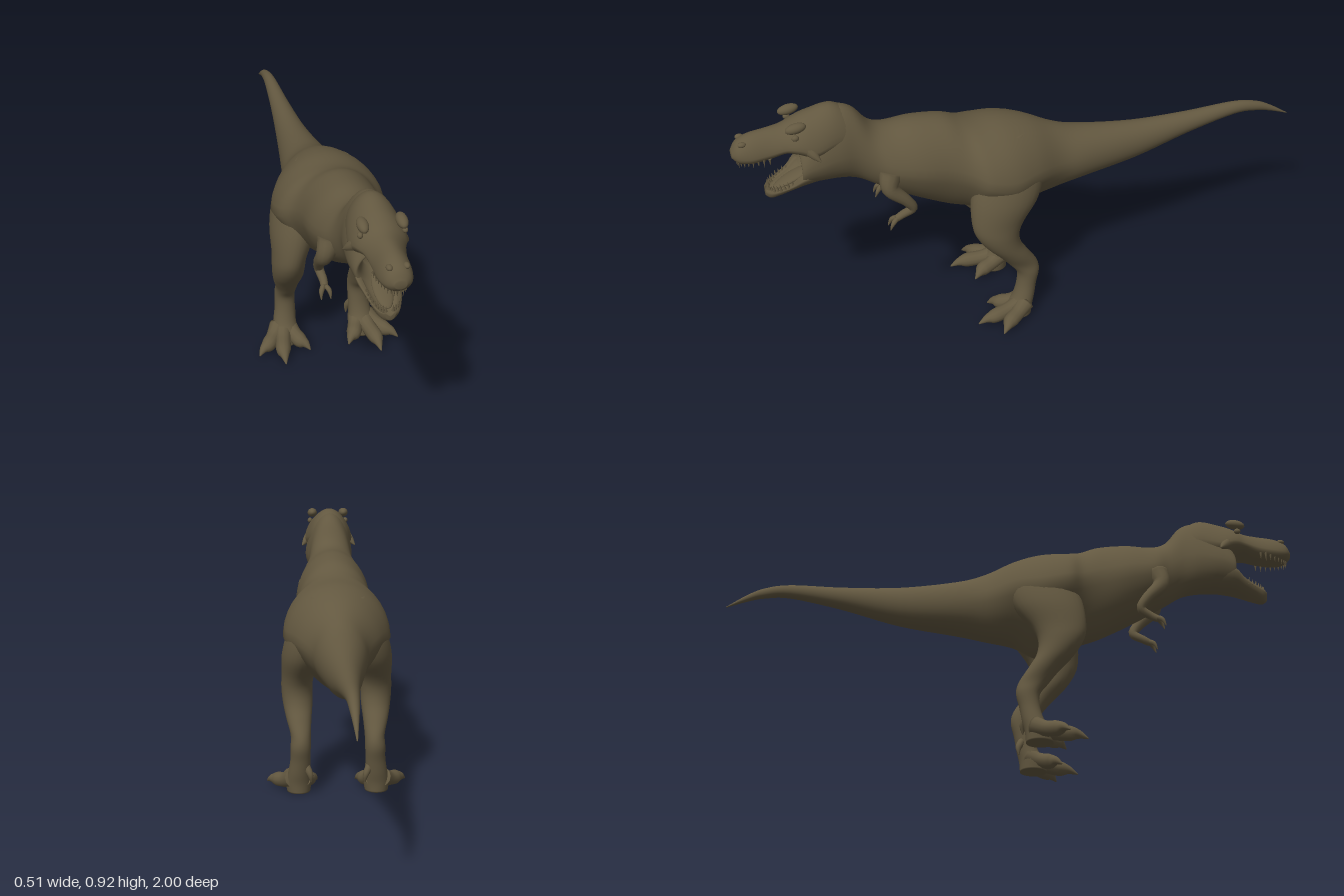
import * as THREE from 'three';

const TAU = Math.PI * 2;
const hide = new THREE.MeshStandardMaterial({ color: 0x635840 });
hide.name = 'olive brown hide';

// Smoothly resample a table of cross-section values
function smooth(rows, steps) {
  const out = [], last = rows.length - 1;
  for (let i = 0; i < last; i++) {
    for (let s = 0; s < steps; s++) {
      const t = s / steps;
      const [a, b, c, d] = [i - 1, i, i + 1, i + 2].map(k => rows[Math.min(last, Math.max(0, k))]);
      out.push(b.map((_, k) => 0.5 * (2 * b[k] + (c[k] - a[k]) * t
        + (2 * a[k] - 5 * b[k] + 4 * c[k] - d[k]) * t * t
        + (3 * b[k] - a[k] - 3 * c[k] + d[k]) * t * t * t)));
    }
  }
  out.push(rows[last]);
  return out;
}

// Skin a list of rings (arrays of Vector3) and close both ends
function loft(rings) {
  const n = rings[0].length;
  const cap = ring => {
    const c = ring.reduce((s, p) => s.add(p), new THREE.Vector3()).divideScalar(n);
    return ring.map(() => c);
  };
  const all = [cap(rings[0]), ...rings, cap(rings[rings.length - 1])];
  const index = [];
  for (let i = 0; i < all.length - 1; i++) {
    for (let j = 0; j < n; j++) {
      const a = i * n + j, b = i * n + (j + 1) % n;
      index.push(a, b, a + n, b, b + n, a + n);
    }
  }
  const geo = new THREE.BufferGeometry().setFromPoints(all.flat());
  geo.setIndex(index);
  geo.computeVertexNormals();
  return geo;
}

const ringOf = (n, fn) => Array.from({ length: n }, (_, j) => fn(TAU * j / n));

// Trunk rows: z, top, bottom, half width, height of widest point (0..1), lower taper, upper taper
function trunk(rows, steps = 5) {
  return loft(smooth(rows, steps).map(([z, top, bot, w, mid, low, up]) => {
    const cy = bot + (top - bot) * mid;
    return ringOf(36, a => {
      const c = Math.cos(a), s = Math.sin(a);
      const x = w * c * (1 - low * Math.max(0, -s) - up * Math.max(0, s));
      return new THREE.Vector3(x, cy + s * (s > 0 ? top - cy : cy - bot), z);
    });
  }));
}

// Round limb through points x, y, z, radius
function sweep(points, n = 12, steps = 5) {
  const pts = smooth(points, steps);
  const at = i => new THREE.Vector3(...pts[Math.min(pts.length - 1, Math.max(0, i))].slice(0, 3));
  return loft(pts.map((p, i) => {
    const t = at(i + 1).sub(at(i - 1)).normalize();
    const u = new THREE.Vector3(1, 0, 0).addScaledVector(t, -t.x).normalize();
    const v = t.clone().cross(u);
    return ringOf(n, a => at(i).addScaledVector(u, p[3] * Math.cos(a)).addScaledVector(v, p[3] * Math.sin(a)));
  }));
}

function ellipsoid(x, y, z, rx, ry, rz, tilt = 0) {
  return new THREE.SphereGeometry(1, 20, 14).scale(rx, ry, rz).rotateX(tilt).translate(x, y, z);
}

function mirrored(geo) {
  const g = geo.clone().scale(-1, 1, 1), ix = g.index.array;
  for (let i = 0; i < ix.length; i += 3) [ix[i], ix[i + 1]] = [ix[i + 1], ix[i]];
  return g;
}

export function createModel() {
  const model = new THREE.Group();
  model.name = 'dinosaur';
  const add = (name, geo) => {
    const m = new THREE.Mesh(geo, hide);
    m.name = name;
    model.add(m);
  };
  const pair = (name, geo) => {
    add('left' + name, geo);
    add('right' + name, mirrored(geo));
  };

  // Tail, hips, belly, chest, neck and hollow throat
  const tail = [
    [-1, 0.535, 0.532, 0.002, 0.5, 0, 0],
    [-0.93, 0.582, 0.558, 0.010, 0.5, 0, 0],
    [-0.87, 0.61, 0.573, 0.016, 0.5, 0, 0],
    [-0.78, 0.625, 0.577, 0.022, 0.5, 0, 0],
    [-0.6, 0.62, 0.54, 0.036, 0.5, 0, 0],
    [-0.4, 0.624, 0.485, 0.058, 0.5, 0, 0],
    [-0.2, 0.65, 0.455, 0.087, 0.5, 0, 0],
    [-0.1, 0.682, 0.435, 0.105, 0.5, 0.1, 0.1]];
  const torso = [
    [0, 0.73, 0.415, 0.155, 0.5, 0.3, 0.1],
    [0.09, 0.755, 0.372, 0.188, 0.5, 0.5, 0.05],
    [0.18, 0.762, 0.41, 0.185, 0.5, 0.4, 0.05],
    [0.235, 0.775, 0.43, 0.15, 0.52, 0.3, 0.05],
    [0.3, 0.80, 0.455, 0.135, 0.52, 0.2, 0.05],
    [0.4, 0.812, 0.508, 0.132, 0.5, 0.15, 0.1],
    [0.49, 0.81, 0.562, 0.115, 0.48, 0.1, 0.1],
    [0.545, 0.832, 0.595, 0.088, 0.48, 0, 0]];
  const neck = [
    [0.6, 0.898, 0.628, 0.078, 0.45, 0, 0.05],
    [0.66, 0.917, 0.645, 0.085, 0.42, 0, 0.1],
    [0.73, 0.89, 0.65, 0.089, 0.4, 0.05, 0.1],
    [0.785, 0.80, 0.648, 0.08, 0.5, 0.1, 0],
    [0.775, 0.785, 0.675, 0.06, 0.5, 0, 0],
    [0.71, 0.755, 0.695, 0.035, 0.5, 0, 0]];
  add('body', trunk([...tail, ...torso, ...neck]));

  // Skull and snout
  add('skull', trunk([
    [0.58, 0.87, 0.76, 0.055, 0.4, 0, 0.1],
    [0.66, 0.925, 0.755, 0.076, 0.4, 0, 0.15],
    [0.74, 0.913, 0.758, 0.09, 0.3, 0, 0.15],
    [0.79, 0.895, 0.778, 0.082, 0.35, 0, 0.15],
    [0.83, 0.879, 0.786, 0.065, 0.35, 0, 0.15],
    [0.88, 0.873, 0.772, 0.056, 0.35, 0, 0.15],
    [0.94, 0.865, 0.765, 0.053, 0.35, 0, 0.1],
    [0.98, 0.846, 0.772, 0.041, 0.4, 0, 0],
    [1, 0.815, 0.79, 0.018, 0.5, 0, 0]]));
  pair('Brow', ellipsoid(0.06, 0.893, 0.795, 0.018, 0.017, 0.035, 0.15));
  pair('Eye', ellipsoid(0.069, 0.862, 0.8, 0.009, 0.01, 0.012));
  pair('CheekHorn', sweep([[0.07, 0.81, 0.76, 0.02], [0.086, 0.793, 0.745, 0.014], [0.102, 0.776, 0.73, 0.002]]));
  pair('Nostril', ellipsoid(0.026, 0.846, 0.965, 0.01, 0.009, 0.014));

  // Trough-shaped lower jaw: z, rim height, bottom, half width
  const jaw = smooth([
    [0.70, 0.725, 0.652, 0.07],
    [0.78, 0.712, 0.645, 0.077],
    [0.82, 0.68, 0.634, 0.062],
    [0.865, 0.658, 0.616, 0.046],
    [0.89, 0.65, 0.609, 0.034],
    [0.905, 0.645, 0.619, 0.016]], 4);
  add('lowerJaw', loft(jaw.map(([z, top, bot, w]) => ringOf(32, a => {
    const outer = a < Math.PI, c = Math.cos(a), s = Math.abs(Math.sin(a));
    return outer
      ? new THREE.Vector3(-w * c, top - (top - bot) * s, z)
      : new THREE.Vector3(-w * 0.78 * c, top - (top - bot) * 0.55 * s, z);
  }))));
  add('tongue', ellipsoid(0, 0.672, 0.81, 0.03, 0.011, 0.075, 0.42));

  // Teeth along both lips
  const tooth = (x, y, z, h, down) => new THREE.ConeGeometry(0.0055, h, 7)
    .rotateX(down ? Math.PI : 0.15).translate(x, y, z);
  for (let i = 0; i < 9; i++) {
    const a = 0.12 + i * 0.165;
    const h = 0.026 + 0.008 * (i % 2);
    pair('UpperTooth', tooth(0.049 * Math.sin(a), 0.768 + 0.008 * Math.sin(a), 0.87 + 0.115 * Math.cos(a), h, true));
    pair('LowerTooth', tooth(0.006 + 0.047 * Math.sin(a), 0.655 + 0.028 * (1 - Math.cos(a)),
      0.81 + 0.085 * Math.cos(a), h - 0.004, false));
  }

  // Legs: y, centre x, centre z, half width, half depth
  const leg = smooth([
    [0.004, 0.14, 0.078, 0.042, 0.046],
    [0.04, 0.14, 0.075, 0.046, 0.046],
    [0.08, 0.138, 0.058, 0.040, 0.038],
    [0.13, 0.134, 0.046, 0.036, 0.035],
    [0.18, 0.133, 0.040, 0.036, 0.040],
    [0.22, 0.132, 0.058, 0.036, 0.050],
    [0.27, 0.137, 0.093, 0.045, 0.054],
    [0.32, 0.140, 0.130, 0.053, 0.062],
    [0.37, 0.142, 0.150, 0.056, 0.075],
    [0.42, 0.138, 0.148, 0.059, 0.092],
    [0.5, 0.120, 0.118, 0.076, 0.120],
    [0.58, 0.100, 0.098, 0.078, 0.122],
    [0.66, 0.080, 0.090, 0.068, 0.095],
    [0.72, 0.060, 0.080, 0.035, 0.05]], 5);
  pair('Leg', loft(leg.map(([y, x, z, rx, rz]) =>
    ringOf(28, a => new THREE.Vector3(x + rx * Math.sin(a), y, z + rz * Math.cos(a))))));

  // Three forward toes with claws, plus a small rear claw
  const toes = [[0.145, 0.168, 0.172, 0.236], [0.16, 0.212, 0.252, 0.168], [0.128, 0.098, 0.07, 0.172]];
  for (const [x0, x1, x2, z2] of toes) {
    const z1 = 0.07 + (z2 - 0.07) * 0.62;
    pair('Toe', sweep([
      [x0, 0.055, 0.06, 0.034],
      [(x0 + x1) / 2, 0.038, (0.06 + z1) / 2, 0.027],
      [x1, 0.03, z1, 0.026],
      [x1 * 0.45 + x2 * 0.55, 0.026, z1 * 0.5 + z2 * 0.5, 0.015],
      [x2, 0.012, z2, 0.002]]));
  }
  pair('RearClaw', sweep([[0.115, 0.11, 0.04, 0.014], [0.1, 0.08, 0.025, 0.011], [0.096, 0.05, 0.025, 0.002]]));

  // Small bent arms with two fingers
  pair('Arm', sweep([
    [0.085, 0.67, 0.50, 0.04],
    [0.103, 0.62, 0.51, 0.029],
    [0.108, 0.565, 0.46, 0.020],
    [0.104, 0.525, 0.437, 0.016],
    [0.098, 0.502, 0.47, 0.014],
    [0.1, 0.49, 0.495, 0.012]]));
  for (const dx of [-0.013, 0.013]) {
    pair('Finger', sweep([
      [0.1, 0.495, 0.488, 0.009],
      [0.1 + dx, 0.483, 0.508, 0.008],
      [0.1 + dx * 1.2, 0.458, 0.52, 0.0015]], 8));
  }
  return model;
}
